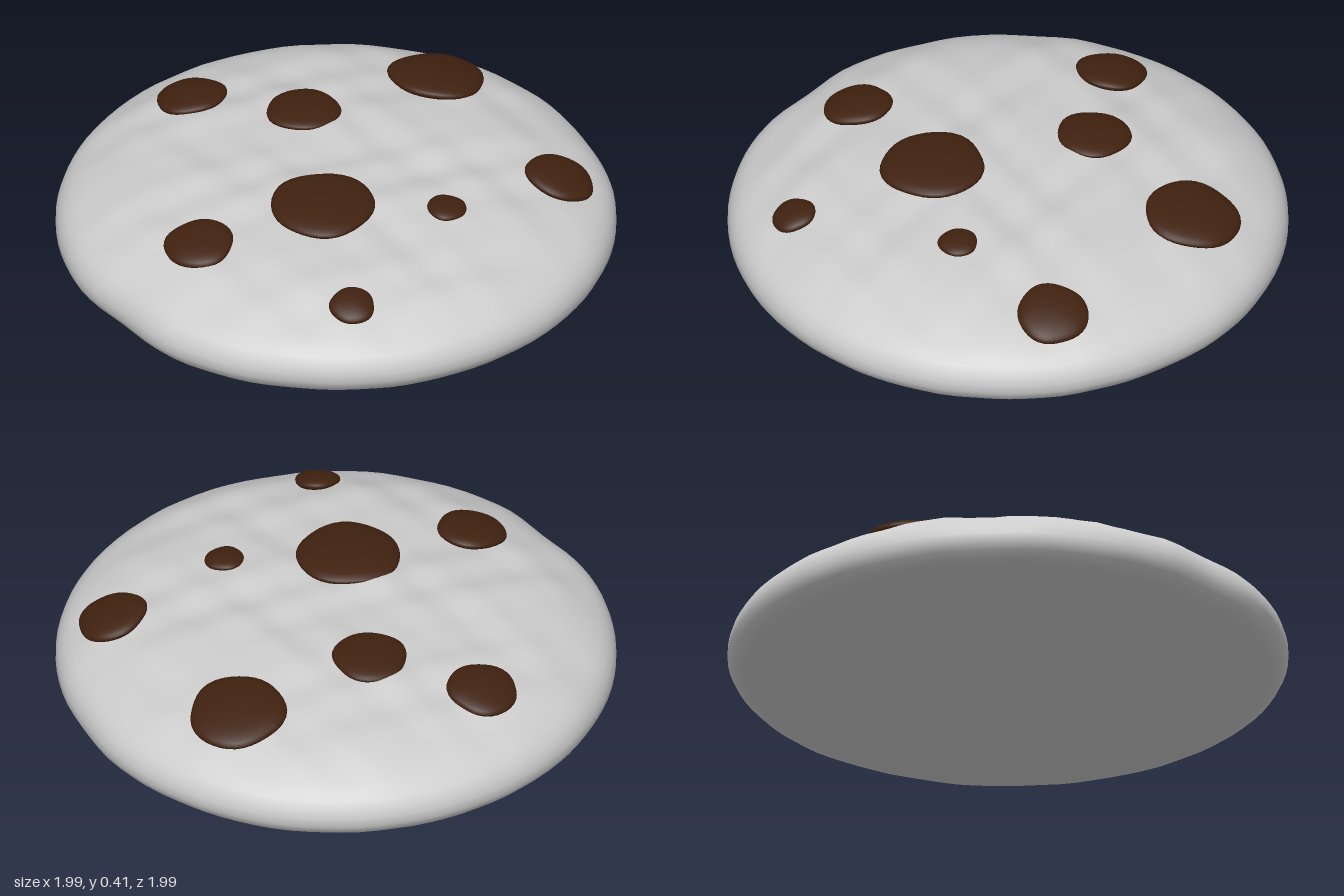
import * as THREE from 'three';
import { mergeVertices } from 'three/addons/utils/BufferGeometryUtils.js';

// Cookie cross-section as [radius, height], from the underside centre to the top centre
const PROFILE = [
  [0, 0.015], [0.3, 0.016], [0.6, 0.025], [0.85, 0.042], [0.94, 0.06], [0.985, 0.1], [0.995, 0.145],
  [0.975, 0.2], [0.92, 0.248], [0.8, 0.303], [0.65, 0.338], [0.45, 0.362], [0.25, 0.374], [0, 0.374],
].map(([r, y]) => new THREE.Vector2(r, y));

// Chips as [x, z, radius, dome height]
const CHIPS = [
  [-0.03, -0.695, 0.172, 0.04], [0.66, -0.44, 0.127, 0.036], [-0.28, -0.215, 0.132, 0.03],
  [-0.69, -0.115, 0.126, 0.034], [0.47, 0, 0.07, 0.022], [0.105, 0.245, 0.185, 0.04],
  [-0.16, 0.64, 0.124, 0.034], [0.48, 0.625, 0.08, 0.028],
];

// Gentle lumps in the dough
function lump(x, z) {
  return 0.4 * Math.sin(7 * x + 3 * z + 1) * Math.sin(9 * z - 2 * x)
    + 0.35 * Math.sin(15 * x - 5 * z) * Math.sin(17 * z + 6 * x + 2)
    + 0.25 * Math.sin(27 * z + 9 * x) * Math.sin(19 * x - 8 * z + 1);
}

// Smooth dent around one direction of the rim
function dent(angle, centre, width, depth) {
  const d = Math.atan2(Math.sin(angle - centre), Math.cos(angle - centre)) / width;
  return depth * Math.exp(-d * d);
}

function doughGeometry() {
  const points = new THREE.SplineCurve(PROFILE).getSpacedPoints(64);
  points[0].x = points[64].x = 0;
  const lathe = new THREE.LatheGeometry(points, 96);
  lathe.deleteAttribute('uv');
  lathe.deleteAttribute('normal');
  const geometry = mergeVertices(lathe, 1e-5);
  const p = geometry.attributes.position;
  for (let i = 0; i < p.count; i++) {
    const x = p.getX(i), y = p.getY(i), z = p.getZ(i);
    const r = Math.hypot(x, z), a = Math.atan2(z, x);
    // Lumpy top, nearly flat underside, slightly uneven rim
    const top = THREE.MathUtils.smoothstep(y, 0.2, 0.34);
    const s = 1 - r * (dent(a, 1.9, 0.16, 0.025) + dent(a, -1.0, 0.15, 0.008));
    const lift = lump(x, z) * (0.004 + 0.016 * top);
    p.setXYZ(i, x * s, Math.max(0, y + lift), z * s);
  }
  geometry.computeVertexNormals();
  return geometry;
}

// Height of the unlumped top at a given radius
function topHeight(r) {
  for (let i = PROFILE.length - 1; i > 7; i--) {
    const a = PROFILE[i], b = PROFILE[i - 1];
    if (r <= b.x) return THREE.MathUtils.mapLinear(r, a.x, b.x, a.y, b.y);
  }
  return 0.25;
}

// Flattened dome with a slightly wobbly outline
function chipGeometry(radius, height, seed) {
  const geometry = new THREE.SphereGeometry(1, 36, 18);
  const p = geometry.attributes.position;
  for (let i = 0; i < p.count; i++) {
    const a = Math.atan2(p.getZ(i), p.getX(i));
    const w = radius * (1 + 0.025 * Math.sin(3 * a + seed) + 0.015 * Math.sin(5 * a + 2 * seed));
    p.setXYZ(i, p.getX(i) * w, p.getY(i) * height, p.getZ(i) * w);
  }
  geometry.computeVertexNormals();
  return geometry;
}

export function createModel() {
  const dough = new THREE.MeshStandardMaterial({ name: 'dough', color: 0xcccccc });
  const chocolate = new THREE.MeshStandardMaterial({ name: 'chocolate', color: 0x40210f });
  const model = new THREE.Group();
  model.name = 'cookie';

  const body = new THREE.Mesh(doughGeometry(), dough);
  body.name = 'cookieBody';
  model.add(body);

  // Chips lie on the top, tilted to follow its slope
  const up = new THREE.Vector3(0, 1, 0);
  CHIPS.forEach(([x, z, radius, height], i) => {
    const r = Math.hypot(x, z);
    const slope = (topHeight(r - 0.1) - topHeight(r + 0.1)) / 0.2;
    const normal = new THREE.Vector3(slope * x / r, 1, slope * z / r).normalize();
    const chip = new THREE.Mesh(chipGeometry(radius, height, i), chocolate);
    chip.name = 'chocolateChip' + (i + 1);
    chip.position.set(x, topHeight(r) + 0.008, z);
    chip.quaternion.setFromUnitVectors(up, normal);
    model.add(chip);
  });
  return model;
}
